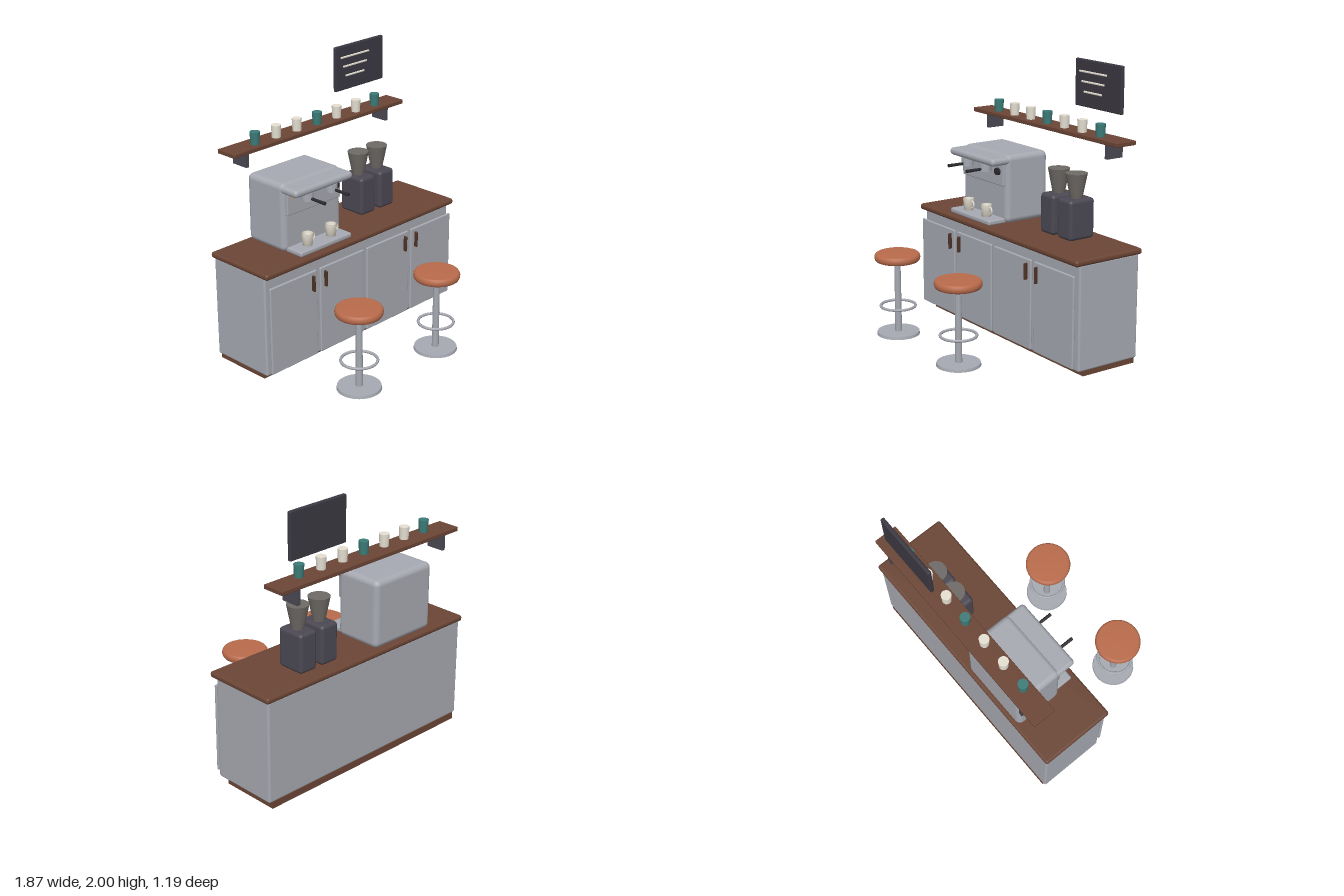
import * as THREE from 'three';
import { RoundedBoxGeometry } from 'three/addons/geometries/RoundedBoxGeometry.js';

const mat = (color, side = THREE.FrontSide) => new THREE.MeshStandardMaterial({ color, side });
const wood = mat(0x6b4535), darkWood = mat(0x4e3226), steel = mat(0xa6a9b1), leather = mat(0xb96b4b);
const dark = mat(0x4b4853), slate = mat(0x3b3842), black = mat(0x2c2a2e), smoke = mat(0x6e6a66);
const cream = mat(0xe6e0d2, THREE.DoubleSide), teal = mat(0x3c7b78, THREE.DoubleSide), amber = mat(0xe08a20);

function add(parent, name, geometry, material, x = 0, y = 0, z = 0) {
  const m = new THREE.Mesh(geometry, material);
  m.name = name;
  m.position.set(x, y, z);
  parent.add(m);
  return m;
}

function group(parent, name, x = 0, y = 0, z = 0) {
  const g = new THREE.Group();
  g.name = name;
  g.position.set(x, y, z);
  parent.add(g);
  return g;
}

// Box given by its extents; r > 0 rounds the edges
function box(parent, name, material, [x0, x1], [y0, y1], [z0, z1], r = 0) {
  const w = x1 - x0, h = y1 - y0, d = z1 - z0;
  const geo = r ? new RoundedBoxGeometry(w, h, d, 3, r) : new THREE.BoxGeometry(w, h, d);
  return add(parent, name, geo, material, (x0 + x1) / 2, (y0 + y1) / 2, (z0 + z1) / 2);
}

const cyl = (rTop, rBottom, h, n = 24) => new THREE.CylinderGeometry(rTop, rBottom, h, n);

function counter(root) {
  const g = group(root, 'counter');
  box(g, 'plinth', wood, [-0.888, 0.888], [0, 0.05], [-0.56, -0.12]);
  box(g, 'cabinet', steel, [-0.915, 0.915], [0.045, 0.78], [-0.56, -0.06], 0.015);
  box(g, 'worktop', wood, [-0.933, 0.933], [0.773, 0.816], [-0.575, -0.015], 0.018);
  for (const x of [-0.688, -0.23, 0.228, 0.686])
    box(g, 'door', steel, [x - 0.214, x + 0.214], [0.07, 0.707], [-0.037, -0.018], 0.008);
  for (const x of [-0.517, -0.402, 0.4, 0.514])
    box(g, 'doorHandle', darkWood, [x - 0.008, x + 0.008], [0.563, 0.68], [-0.022, 0.006], 0.007);
}

function mug(parent, x, y, z) {
  const g = group(parent, 'mug', x, y, z);
  const profile = [[0, 0], [0.034, 0], [0.042, 0.085], [0.037, 0.085], [0.031, 0.01], [0, 0.01]];
  add(g, 'mugBody', new THREE.LatheGeometry(profile.map(p => new THREE.Vector2(...p)), 24), cream);
  const handle = add(g, 'mugHandle', new THREE.TorusGeometry(0.025, 0.006, 8, 16, Math.PI), cream, 0.04, 0.046, 0);
  handle.rotation.z = -Math.PI / 2;
}

function espressoMachine(root) {
  const g = group(root, 'espressoMachine');
  box(g, 'machineBody', steel, [-0.612, -0.068], [0.816, 1.305], [-0.55, -0.19], 0.04);
  box(g, 'hood', steel, [-0.609, -0.071], [1.24, 1.293], [-0.25, -0.067], 0.025);
  box(g, 'frontPanel', steel, [-0.59, -0.09], [1.085, 1.252], [-0.2, -0.172], 0.008);
  box(g, 'dripTray', steel, [-0.582, -0.1], [0.816, 0.852], [-0.21, -0.057], 0.012);
  // Brew groups with portafilter handles, each over a mug
  for (const x of [-0.452, -0.23]) {
    add(g, 'brewGroup', cyl(0.042, 0.042, 0.058), steel, x, 1.211, -0.12);
    const grip = add(g, 'portafilterHandle', cyl(0.012, 0.01, 0.13, 12), black, x, 1.198, -0.022);
    grip.rotation.x = Math.PI / 2;
    mug(g, x, 0.852, -0.13);
  }
  const gauge = add(g, 'gauge', cyl(0.026, 0.026, 0.022), black, -0.146, 1.187, -0.163);
  gauge.rotation.x = Math.PI / 2;
  box(g, 'powerLight', amber, [-0.547, -0.523], [1.206, 1.23], [-0.175, -0.16]);
}

function grinder(root, x) {
  const g = group(root, 'grinder', x, 0, -0.37);
  box(g, 'grinderBody', dark, [-0.074, 0.074], [0.816, 1.097], [-0.106, 0.106], 0.025);
  add(g, 'hopper', cyl(0.076, 0.042, 0.172), smoke, 0, 1.181, 0);
}

function stool(root, x) {
  const g = group(root, 'stool', x, 0, 0.43);
  add(g, 'stoolBase', cyl(0.15, 0.154, 0.02, 32), steel, 0, 0.012, 0);
  add(g, 'stoolPost', cyl(0.022, 0.025, 0.55, 16), steel, 0, 0.275, 0);
  const ring = add(g, 'footRing', new THREE.TorusGeometry(0.124, 0.01, 8, 32), steel, 0, 0.212, 0);
  ring.rotation.x = Math.PI / 2;
  // Cushion with rounded rim
  const pts = [[0, 0], [0.145, 0]];
  for (let i = 1; i < 6; i++) {
    const a = -Math.PI / 2 + (i * Math.PI) / 6;
    pts.push([0.145 + 0.018 * Math.cos(a), 0.028 + 0.028 * Math.sin(a)]);
  }
  pts.push([0.145, 0.056], [0, 0.058]);
  add(g, 'seat', new THREE.LatheGeometry(pts.map(p => new THREE.Vector2(...p)), 32), leather, 0, 0.546, 0);
}

function wallShelf(root) {
  const g = group(root, 'wallShelf');
  box(g, 'shelfBoard', wood, [-0.818, 0.818], [1.487, 1.517], [-0.593, -0.425], 0.005);
  for (const x of [-0.677, 0.677])
    box(g, 'shelfBracket', dark, [x - 0.013, x + 0.013], [1.383, 1.49], [-0.59, -0.457]);
  for (let i = 0; i < 7; i++)
    add(g, 'shelfCup', cyl(0.035, 0.031, 0.088, 20), i % 3 ? cream : teal, (i - 3) * 0.193, 1.561, -0.488);
}

function menuBoard(root) {
  const g = group(root, 'menuBoard');
  box(g, 'board', slate, [0.24, 0.722], [1.677, 2], [-0.566, -0.538], 0.008);
  // Chalk strokes
  for (const [y, halfLength] of [[1.918, 0.143], [1.85, 0.119], [1.781, 0.095]])
    box(g, 'chalkLine', cream, [0.431 - halfLength, 0.431 + halfLength], [y - 0.007, y + 0.007], [-0.542, -0.53], 0.005);
}

export function createModel() {
  const root = new THREE.Group();
  root.name = 'coffeeBar';
  counter(root);
  espressoMachine(root);
  for (const x of [0.288, 0.479]) grinder(root, x);
  for (const x of [-0.533, 0.24]) stool(root, x);
  wallShelf(root);
  menuBoard(root);
  return root;
}
